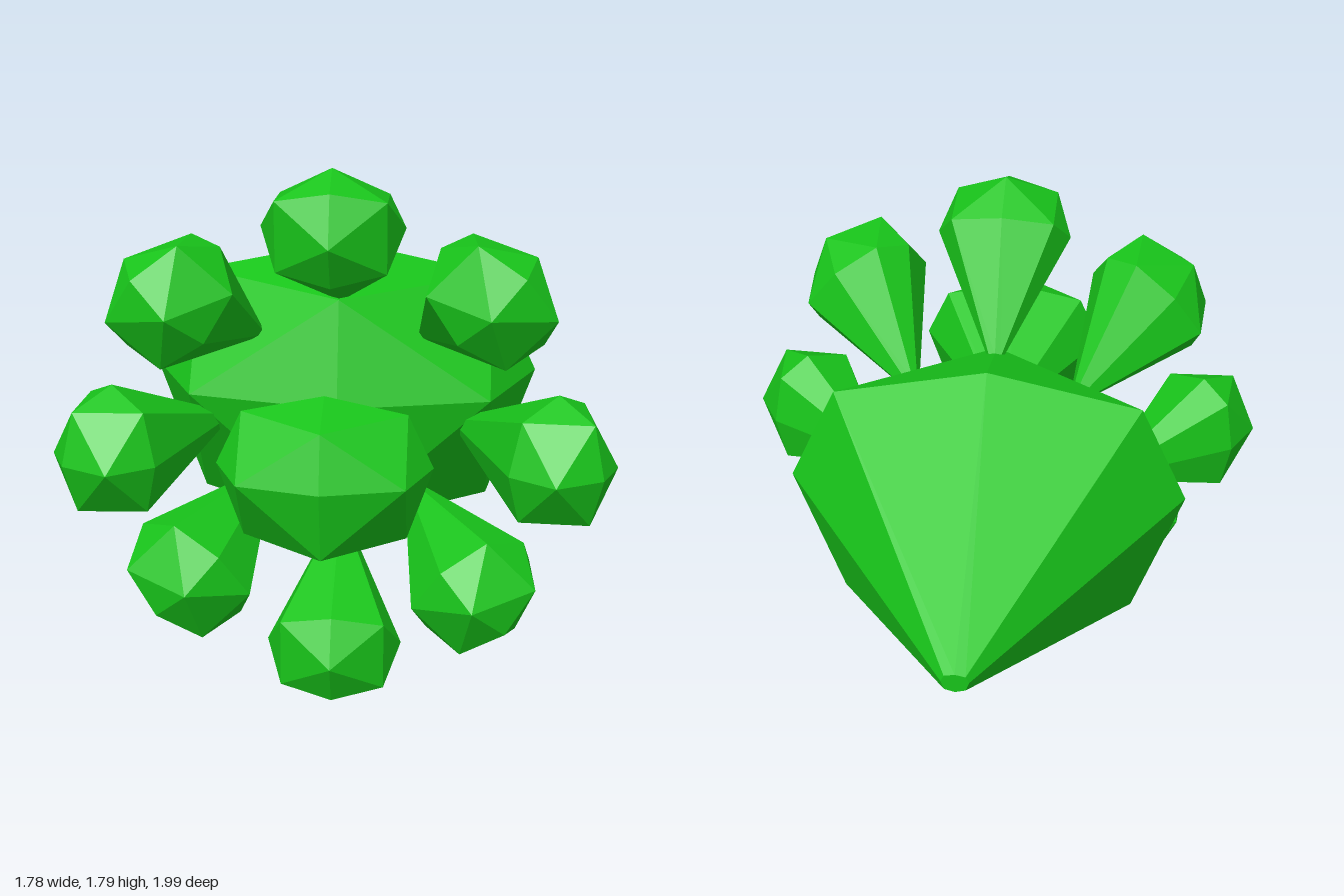
import * as THREE from 'three';

const material = new THREE.MeshStandardMaterial({ color: 0x18c41a, flatShading: true });

// Faceted bud: domed front along +z, eight-sided widest ring at z = 0, taper to a small blunt tip.
// The upper half is flatter than the lower half.
function budGeometry(width, depth, tipRatio) {
  const positions = [];
  const point = (x, y, z) => new THREE.Vector3(x * width, y * width * (y > 0 ? 0.68 : 0.94), z);
  const tri = (...corners) => corners.forEach((c) => positions.push(c.x, c.y, c.z));

  const ring = [], tip = [], mid = [];
  const tipCentre = new THREE.Vector3(0, -0.12 * width, -2.03 * depth);
  for (let i = 0; i < 8; i++) {
    const a = (i * Math.PI) / 4;
    const r = i % 2 ? 0.76 * Math.SQRT2 : 1;
    const x = Math.cos(a) * r, y = Math.sin(a) * r;
    ring.push(point(x, y, 0));
    tip.push(point(x * tipRatio, y * tipRatio, 0).add(tipCentre));
    if (i % 2 === 0) mid.push(point(x * 0.76, y * 0.76, 0.76 * depth));
  }
  const pole = new THREE.Vector3(0, 0, depth);

  // dome
  for (let k = 0; k < 4; k++) {
    const m = mid[k], n = mid[(k + 1) % 4], d = ring[2 * k + 1];
    tri(pole, m, n);
    tri(m, d, n);
    tri(m, ring[2 * k], d);
    tri(n, d, ring[(2 * k + 2) % 8]);
  }
  // taper and blunt end
  for (let i = 0; i < 8; i++) {
    const j = (i + 1) % 8;
    tri(ring[i], tip[i], tip[j]);
    tri(ring[i], tip[j], ring[j]);
    tri(tipCentre, tip[j], tip[i]);
  }
  const geometry = new THREE.BufferGeometry();
  geometry.setAttribute('position', new THREE.Float32BufferAttribute(positions, 3));
  geometry.computeVertexNormals();
  return geometry;
}

export function createModel() {
  const model = new THREE.Group();
  const add = (name, geometry, x, y, z) => {
    const mesh = new THREE.Mesh(geometry, material);
    mesh.name = name;
    mesh.position.set(x, y, z);
    model.add(mesh);
    return mesh;
  };

  // large body tapering to the back, and the central bud in front of it
  add('body', budGeometry(0.65, 0.42, 0.065), 0, 0.95, -0.145);
  add('centreBud', budGeometry(0.32, 0.22, 0.1), 0, 0.97, 0.77);

  // ring of eight buds leaning outward and forward: x, y, angle in degrees
  const buds = [
    [0.7, 0.845, 0], [0.485, 1.38, 47], [0, 1.59, 90], [-0.495, 1.36, 137],
    [-0.7, 0.845, 180], [-0.465, 0.43, 225], [0, 0.18, 270], [0.455, 0.4, 315.5],
  ];
  const small = budGeometry(0.22, 0.205, 0.12);
  buds.forEach(([x, y, degrees], i) => {
    const a = THREE.MathUtils.degToRad(degrees);
    const lean = 0.735;
    const s = Math.sin(lean), c = Math.cos(lean);
    const axis = new THREE.Vector3(Math.cos(a) * s, Math.sin(a) * s, c);
    const up = new THREE.Vector3(Math.cos(a) * c, Math.sin(a) * c, -s);
    const side = new THREE.Vector3().crossVectors(up, axis);
    const bud = add(`outerBud${i + 1}`, small, x, y, 0.4);
    bud.quaternion.setFromRotationMatrix(new THREE.Matrix4().makeBasis(side, up, axis));
  });
  return model;
}
